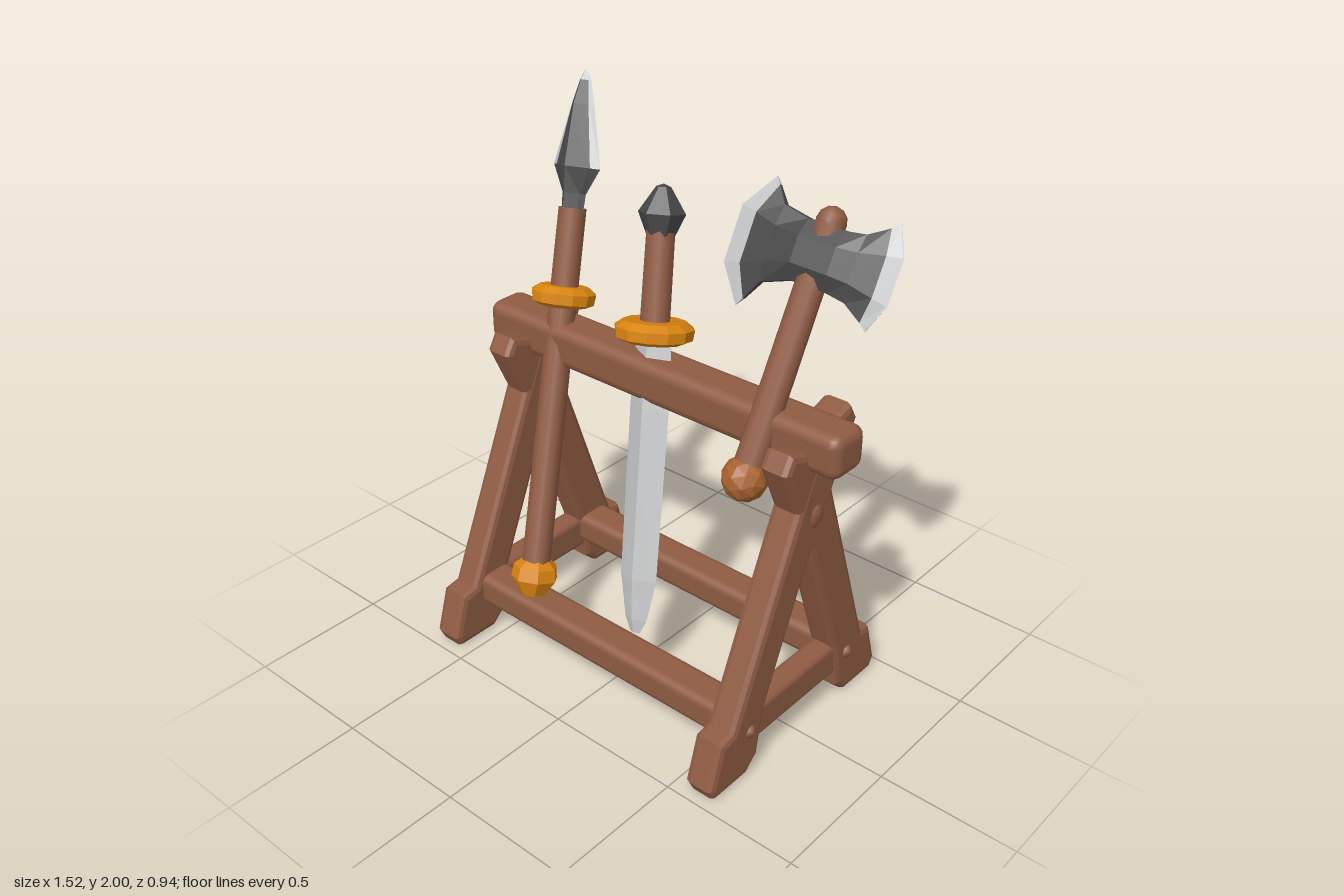
import * as THREE from 'three';
import { RoundedBoxGeometry } from 'three/addons/geometries/RoundedBoxGeometry.js';

const V = (x, y, z) => new THREE.Vector3(x, y, z);

export function createModel() {
  const material = (name, color) => {
    const m = new THREE.MeshStandardMaterial({ color });
    m.name = name;
    return m;
  };
  const wood = material('brown wood', 0x8f5b43);
  const paleWood = material('pale wood', 0xa8622f);
  const gold = material('gold', 0xd98510);
  const iron = material('dark iron', 0x484848);
  const steel = material('bright steel', 0xc2c3c4);

  const model = new THREE.Group();
  model.name = 'weaponRack';

  const add = (parent, name, geometry, mat, x = 0, y = 0, z = 0) => {
    const mesh = new THREE.Mesh(geometry, mat);
    mesh.name = name;
    mesh.position.set(x, y, z);
    parent.add(mesh);
    return mesh;
  };
  const flat = (geometry) => {
    const g = geometry.index ? geometry.toNonIndexed() : geometry;
    g.computeVertexNormals();
    return g;
  };
  const lathe = (points, sides) =>
    flat(new THREE.LatheGeometry(points.map(([r, y]) => new THREE.Vector2(r, y)), sides));
  const timber = (w, h, d, r) => new RoundedBoxGeometry(w, h, d, 2, r);

  // Skin between cross-sections, flat shaded; pick(ring, side) gives the material index
  const loft = (rings, pick) => {
    const faces = [[], []];
    const tri = (k, ...pts) => pts.forEach((p) => faces[k].push(p.x, p.y, p.z));
    const n = rings[0].length;
    for (let j = 0; j < rings.length - 1; j++) {
      for (let i = 0; i < n; i++) {
        const k = (i + 1) % n;
        const a = rings[j][i], b = rings[j][k], c = rings[j + 1][k], d = rings[j + 1][i];
        tri(pick(j, i), a, d, c);
        tri(pick(j, i), a, c, b);
      }
    }
    const first = rings[0], last = rings[rings.length - 1];
    for (let i = 1; i < n - 1; i++) {
      tri(pick(0, i), first[0], first[i], first[i + 1]);
      tri(pick(rings.length - 2, i), last[0], last[i + 1], last[i]);
    }
    const g = new THREE.BufferGeometry();
    g.setAttribute('position', new THREE.Float32BufferAttribute([...faces[0], ...faces[1]], 3));
    g.addGroup(0, faces[0].length / 3, 0);
    g.addGroup(faces[0].length / 3, faces[1].length / 3, 1);
    g.computeVertexNormals();
    return g;
  };

  // Diamond section with a narrow honed strip beside each edge
  const diamond = ([y, w, d]) => [
    [1, 0], [0.72, 0.3], [0, 1], [-0.72, 0.3], [-1, 0], [-0.72, -0.3], [0, -1], [0.72, -0.3],
  ].map(([px, pz]) => V(px * w, y, pz * d));

  // Group whose own y axis runs from one point to another
  const weapon = (name, from, to) => {
    const g = new THREE.Group();
    g.name = name;
    g.position.copy(from);
    g.quaternion.setFromUnitVectors(V(0, 1, 0), to.clone().sub(from).normalize());
    model.add(g);
    return g;
  };
  const shaft = (parent, name, r, y0, y1) =>
    add(parent, name, new THREE.CylinderGeometry(r, r * 1.06, y1 - y0, 10), wood, 0, (y0 + y1) / 2);
  const guard = (parent, r, y) => add(parent, 'guard', lathe([
    [0, -0.036], [r - 0.035, -0.036], [r - 0.005, -0.022], [r, 0.014], [r - 0.03, 0.036], [0, 0.036],
  ], 12), gold, 0, y);

  // Crossed legs, outlined in (z, y)
  const frontLeg = [
    [0.36, 0.215], [0.42, 0.205], [0.47, 0.04], [0.45, 0], [0.28, 0], [0.225, 0.05], [0.195, 0.225],
    [-0.02, 0.73], [-0.23, 1.14], [-0.195, 1.2], [-0.13, 1.18], [-0.06, 1.17], [0.05, 0.93],
  ];
  const backLeg = [
    [-0.37, 0.215], [-0.42, 0.205], [-0.47, 0.04], [-0.45, 0], [-0.28, 0], [-0.225, 0.05], [-0.2, 0.225],
    [-0.02, 0.73], [0.14, 1.08], [0.105, 1.14], [0.05, 1.12], [-0.04, 1.09], [-0.12, 0.93],
  ];
  const legGeometry = (outline, width) => {
    const bevel = 0.022;
    const g = new THREE.ExtrudeGeometry(
      new THREE.Shape(outline.map(([z, y]) => new THREE.Vector2(z, y))),
      { depth: width - 2 * bevel, bevelEnabled: true, bevelThickness: bevel, bevelSize: bevel, bevelOffset: -bevel, bevelSegments: 2 });
    g.translate(0, 0, bevel - width / 2);
    g.rotateY(-Math.PI / 2);
    return g;
  };
  for (const side of [-1, 1]) {
    const x = side * 0.602;
    add(model, 'frontLeg', legGeometry(frontLeg, 0.114), wood, x);
    add(model, 'backLeg', legGeometry(backLeg, 0.11), wood, x);
    add(model, 'footRail', timber(0.09, 0.135, 0.64, 0.025), wood, x, 0.168, 0);
    const peg = new THREE.SphereGeometry(0.05, 8, 6);
    peg.scale(0.5, 1, 0.8);
    add(model, 'crossingPeg', peg, wood, side * 0.647, 0.865, -0.03);
  }

  // Beams joining the two leg frames
  add(model, 'topBeam', timber(1.52, 0.155, 0.16, 0.04), wood, 0, 1.12, -0.05);
  for (const z of [0.262, -0.27]) {
    add(model, 'stretcher', timber(1.24, 0.12, 0.135, 0.03), wood, 0, 0.19, z);
    for (const side of [-1, 1]) {
      add(model, 'stretcherPeg', new THREE.SphereGeometry(0.03, 6, 4), wood, side * 0.645, 0.175, z * 1.03);
    }
  }

  // Spear
  const spear = weapon('spear', V(-0.34, 0.31, 0.26), V(-0.56, 2.0, -0.30));
  shaft(spear, 'spearShaft', 0.049, 0, 1.33);
  guard(spear, 0.115, 1.025);
  add(spear, 'spearButt', lathe([[0, -0.06], [0.045, -0.06], [0.085, 0], [0.08, 0.045], [0.045, 0.075], [0, 0.075]], 7), gold);
  const spearRings = [
    [1.31, 0.05, 0.05], [1.38, 0.055, 0.05], [1.47, 0.108, 0.062], [1.68, 0.052, 0.048], [1.76, 0.026, 0.024], [1.794, 0.008, 0.006],
  ].map(diamond);
  add(spear, 'spearHead', loft(spearRings, (j, i) => (j >= 4 || (j >= 2 && [0, 3, 4, 7].includes(i)) ? 1 : 0)), [iron, steel]);

  // Sword, point down
  const sword = weapon('sword', V(0.09, 0.25, 0.2), V(-0.105, 1.66, -0.165));
  const bladeRings = [
    [0, 0.022, 0.01], [0.05, 0.048, 0.022], [0.2, 0.08, 0.034], [0.8, 0.085, 0.038], [1.06, 0.076, 0.034],
  ].map(diamond);
  add(sword, 'swordBlade', loft(bladeRings, () => 1), [iron, steel]);
  guard(sword, 0.136, 1.065);
  shaft(sword, 'swordGrip', 0.049, 1.06, 1.4);
  add(sword, 'swordPommel', lathe([[0, 1.375], [0.045, 1.375], [0.08, 1.455], [0.025, 1.54], [0, 1.55]], 6), iron);

  // Double-bladed axe
  const axe = weapon('axe', V(0.46, 0.98, 0.09), V(0.487, 1.77, -0.28));
  shaft(axe, 'axeHandle', 0.049, 0, 0.84);
  const handleEnd = new THREE.SphereGeometry(0.049, 10, 6);
  add(axe, 'axeHandleEnd', handleEnd, wood, 0, 0.84);
  add(axe, 'axeKnob', flat(new THREE.IcosahedronGeometry(0.077, 1)), paleWood);
  // Stations across the head: x, half height, half thickness, edge bow, centre height
  const axeRings = [
    [-0.325, 0.21, 0.006, 0.105, -0.02], [-0.255, 0.185, 0.018, 0.055, -0.018], [-0.16, 0.125, 0.034, 0, -0.01],
    [-0.065, 0.098, 0.058, 0, 0], [0.065, 0.098, 0.058, 0, 0], [0.13, 0.108, 0.036, 0, 0],
    [0.215, 0.148, 0.018, -0.02, 0], [0.268, 0.168, 0.006, -0.05, 0],
  ].map(([x, h, t, bow, cy]) => [
    [-1, 0.4], [-0.45, 1], [0.45, 1], [1, 0.4], [1, -0.4], [0.45, -1], [-0.45, -1], [-1, -0.4],
  ].map(([s, q]) => V(x + bow * s * s, cy + h * s, t * q)));
  const head = add(axe, 'axeHead', loft(axeRings, (j) => (j === 0 || j === 6 ? 1 : 0)), [iron, steel], 0, 0.73, 0);
  head.rotation.y = 0.12;

  return model;
}
